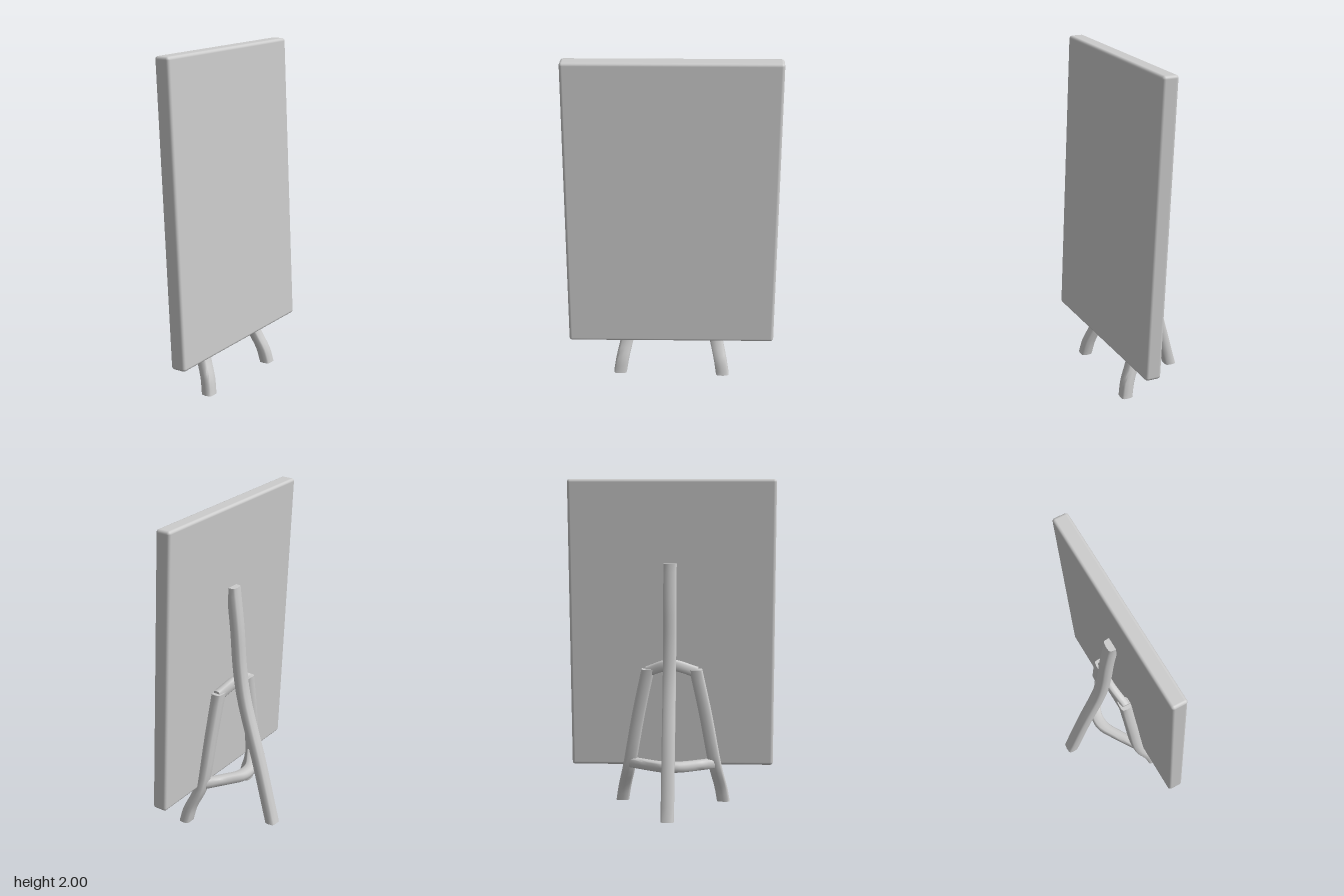
import * as THREE from 'three';
import { toCreasedNormals } from 'three/addons/utils/BufferGeometryUtils.js';
import { RoundedBoxGeometry } from 'three/addons/geometries/RoundedBoxGeometry.js';

const plaster = new THREE.MeshStandardMaterial({ color: 0xcccccc });
plaster.name = 'pale grey';

const X = new THREE.Vector3(1, 0, 0);
const Y = new THREE.Vector3(0, 1, 0);
const Z = new THREE.Vector3(0, 0, 1);

// Solid beam with soft corners along a curve; sections lie in the u, v plane
// and the path runs towards u x v.
function beam(name, points, u, v, width, depth, steps = 16) {
  const curve = new THREE.CatmullRomCurve3(points.map(p => new THREE.Vector3(...p)));
  const sides = 12, pos = [], index = [];
  const soft = t => Math.sign(t) * Math.pow(Math.abs(t), 0.5);
  for (let i = 0; i <= steps; i++) {
    const c = curve.getPoint(i / steps);
    for (let j = 0; j < sides; j++) {
      const a = (j / sides) * Math.PI * 2;
      const p = c.clone()
        .addScaledVector(u, soft(Math.cos(a)) * width / 2)
        .addScaledVector(v, soft(Math.sin(a)) * depth / 2);
      pos.push(p.x, p.y, p.z);
    }
  }
  for (let i = 0; i < steps; i++) {
    for (let j = 0; j < sides; j++) {
      const a = i * sides + j, b = i * sides + (j + 1) % sides;
      index.push(a, b, b + sides, a, b + sides, a + sides);
    }
  }
  // End caps
  const last = steps * sides;
  for (let j = 1; j < sides - 1; j++) {
    index.push(0, j + 1, j, last, last + j, last + j + 1);
  }
  const g = new THREE.BufferGeometry();
  g.setAttribute('position', new THREE.Float32BufferAttribute(pos, 3));
  g.setIndex(index);
  const mesh = new THREE.Mesh(toCreasedNormals(g, 0.9), plaster);
  mesh.name = name;
  return mesh;
}

export function createModel() {
  const group = new THREE.Group();
  group.name = 'boardOnEasel';

  // Upright board, leaning back and turned slightly
  const lean = -0.054, turn = -0.031;
  const boardGeo = new RoundedBoxGeometry(1.24, 1.75, 0.095, 3, 0.018);
  boardGeo.applyMatrix4(new THREE.Matrix4().set(
    1, 0, 0, 0,
    0, 1, 0, 1.125,
    turn, lean, 1, 0.143,
    0, 0, 0, 1));
  const board = new THREE.Mesh(boardGeo, plaster);
  board.name = 'board';
  group.add(board);

  // Front legs, spread at the feet and running up the back of the board
  for (const s of [1, -1]) {
    group.add(beam(s > 0 ? 'leftFrontLeg' : 'rightFrontLeg', [
      [s * 0.315, 0.01, 0.21], [s * 0.3, 0.1, 0.19], [s * 0.265, 0.25, 0.13],
      [s * 0.205, 0.58, 0.098], [s * 0.145, 0.86, 0.08],
    ], Z, X, 0.07, 0.08));
  }

  // Long rear leg, curving out from the back of the board
  group.add(beam('rearLeg', [
    [0.01, 0, -0.225], [0.01, 0.4, -0.122], [0.01, 0.8, -0.008],
    [0.01, 1.0, 0.022], [0.01, 1.25, 0.04], [0.01, 1.5, 0.068],
  ], Z, X, 0.07, 0.08, 24));

  // Brace joining the front legs, bowed towards the rear leg
  group.add(beam('lowerBrace', [
    [-0.265, 0.27, 0.13], [-0.14, 0.272, 0.045], [-0.04, 0.275, -0.012],
    [0.05, 0.275, -0.012], [0.14, 0.272, 0.045], [0.265, 0.27, 0.13],
  ], Y, Z, 0.06, 0.075));

  // Short bridge where the legs meet
  group.add(beam('upperBridge', [
    [-0.16, 0.84, 0.085], [0.01, 0.89, 0.055], [0.16, 0.84, 0.085],
  ], Y, Z, 0.07, 0.05));

  return group;
}
